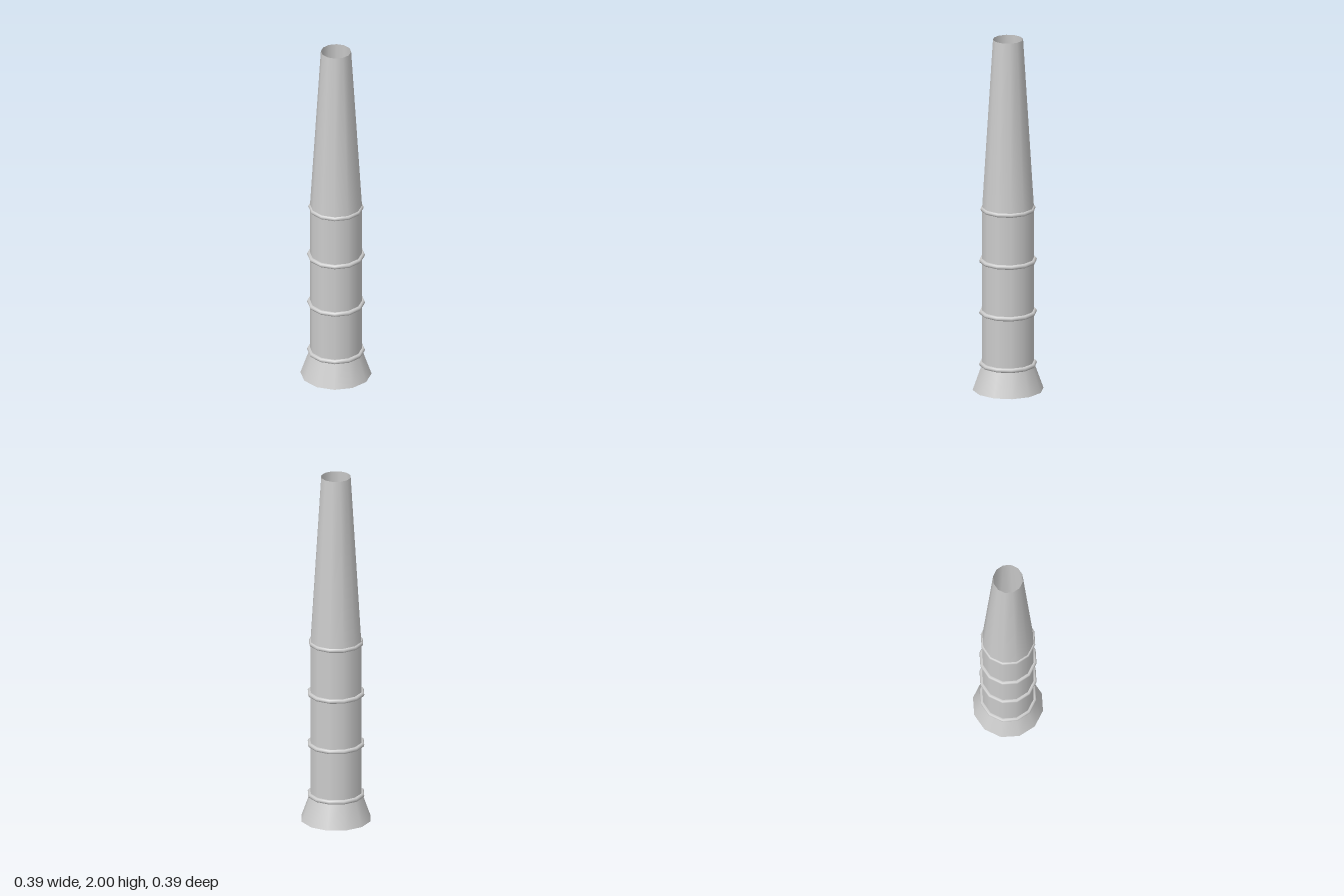
import * as THREE from 'three';

const SIDES = 12;

export function createModel() {
  const group = new THREE.Group();
  const material = new THREE.MeshStandardMaterial({ color: 0xcccccc, side: THREE.DoubleSide });

  function add(name, geometry, y) {
    const mesh = new THREE.Mesh(geometry, material);
    mesh.name = name;
    mesh.position.y = y;
    group.add(mesh);
  }

  // Open, hollow tube section between two heights
  function section(name, bottomRadius, topRadius, y0, y1) {
    add(name, new THREE.CylinderGeometry(topRadius, bottomRadius, y1 - y0, SIDES, 1, true), (y0 + y1) / 2);
  }

  section('flaredBase', 0.195, 0.143, 0, 0.147);
  section('column', 0.143, 0.143, 0.147, 1.033);
  section('taperedStack', 0.143, 0.083, 1.033, 2);

  // Raised bands, the top one slightly slimmer
  for (let i = 0; i < 4; i++) {
    const ringRadius = i === 3 ? 0.139 : 0.146;
    const ring = new THREE.TorusGeometry(ringRadius, 0.013, 8, SIDES);
    ring.rotateX(Math.PI / 2);
    add('band' + (i + 1), ring, 0.147 + i * 0.2953);
  }

  return group;
}
